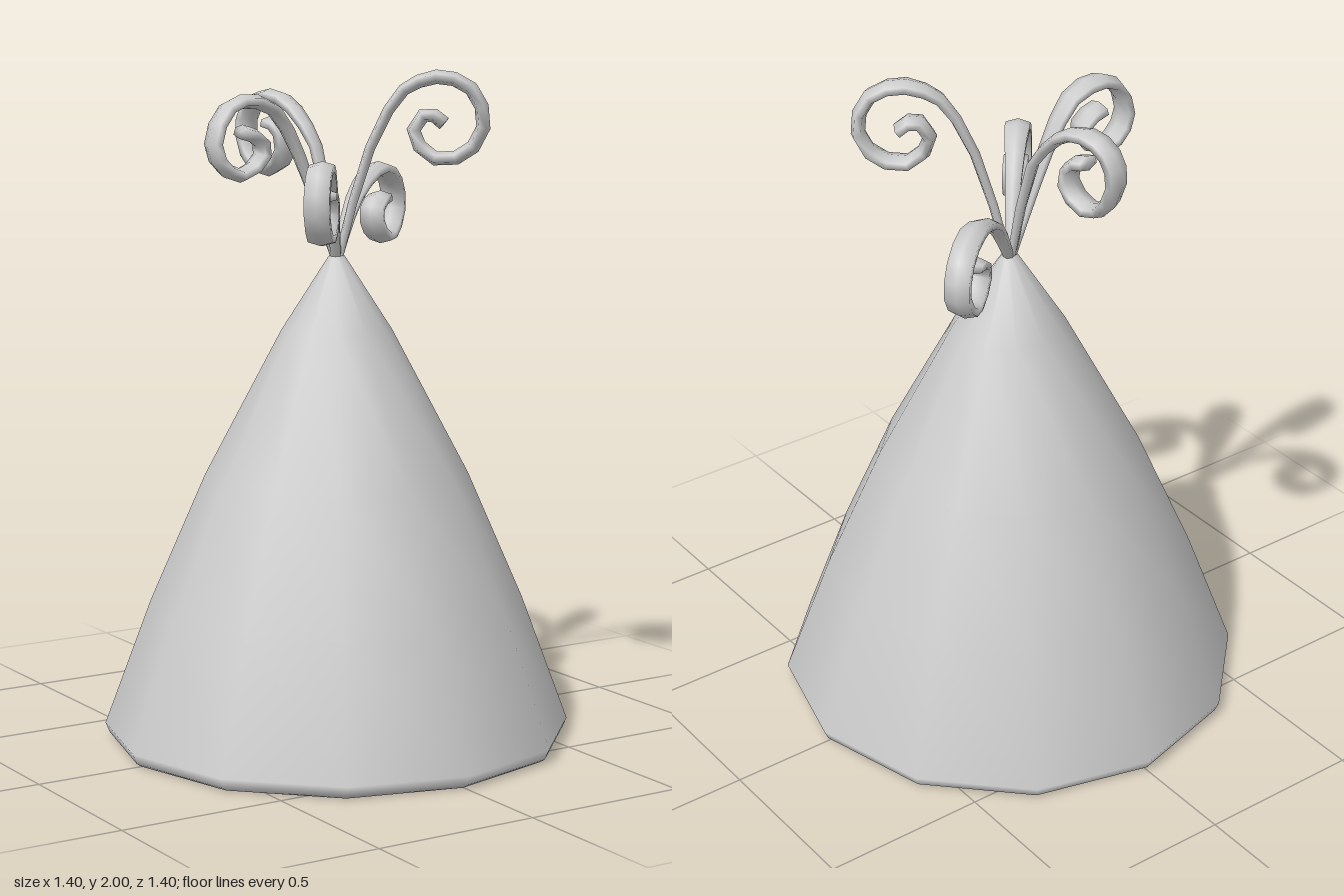
import * as THREE from 'three';

const material = new THREE.MeshStandardMaterial({ color: 0xcccccc });
const SIDES = 6;
const STEPS = 18;

// Flattened ribbon-like tube along a curve through [radius, height] points,
// thin at the base and full width once it starts to curl.
function curlGeometry(path) {
  const pts = new THREE.SplineCurve(path.map(([r, y]) => new THREE.Vector2(r, y))).getPoints(STEPS);
  const pos = [];
  const index = [];
  pts.forEach((p, i) => {
    const t = pts[Math.min(i + 1, STEPS)].clone().sub(pts[Math.max(i - 1, 0)]).normalize();
    const grow = Math.min(1, i / 6);
    const thick = 0.012 + 0.009 * grow;
    const wide = 0.015 + 0.027 * grow;
    for (let j = 0; j < SIDES; j++) {
      const a = (j / SIDES) * Math.PI * 2;
      const n = Math.cos(a) * thick;
      pos.push(p.x - t.y * n, p.y + t.x * n, Math.sin(a) * wide);
      if (i < STEPS) {
        const k = (j + 1) % SIDES;
        const [a0, a1, b0, b1] = [i * SIDES + j, i * SIDES + k, (i + 1) * SIDES + j, (i + 1) * SIDES + k];
        index.push(a0, a1, b0, a1, b1, b0);
      }
    }
  });
  // End caps
  const start = pos.length / 3;
  pos.push(pts[0].x, pts[0].y, 0, pts[STEPS].x, pts[STEPS].y, 0);
  for (let j = 0; j < SIDES; j++) {
    const k = (j + 1) % SIDES;
    index.push(start, k, j, start + 1, STEPS * SIDES + j, STEPS * SIDES + k);
  }
  const g = new THREE.BufferGeometry();
  g.setAttribute('position', new THREE.Float32BufferAttribute(pos, 3));
  g.setIndex(index);
  g.computeVertexNormals();
  return g;
}

// Each curl lies in its own vertical plane, heading towards dir = [x, z]
const curls = [
  { name: 'leftwardCurl', dir: [-1, 0], path: [
    [0.005, 1.44], [0.075, 1.62], [0.14, 1.77], [0.21, 1.88], [0.3, 1.912], [0.375, 1.885], [0.415, 1.8],
    [0.39, 1.73], [0.325, 1.7], [0.258, 1.745], [0.262, 1.8], [0.325, 1.825]] },
  { name: 'backCurl', dir: [-0.24, -0.97], path: [
    [0.005, 1.44], [0.07, 1.73], [0.14, 1.84], [0.22, 1.9], [0.3, 1.908], [0.36, 1.87], [0.38, 1.8],
    [0.345, 1.715], [0.28, 1.69], [0.215, 1.74], [0.225, 1.81], [0.28, 1.83]] },
  { name: 'backRightwardCurl', dir: [0.81, -0.585], path: [
    [0.005, 1.44], [0.075, 1.54], [0.155, 1.62], [0.27, 1.675], [0.37, 1.682], [0.45, 1.635], [0.473, 1.56],
    [0.425, 1.49], [0.36, 1.475], [0.293, 1.52], [0.298, 1.575], [0.365, 1.595]] },
  { name: 'frontRightwardCurl', dir: [0.772, 0.635], path: [
    [0.005, 1.44], [0.08, 1.72], [0.165, 1.9], [0.235, 1.96], [0.32, 1.975], [0.4, 1.935], [0.431, 1.84],
    [0.38, 1.755], [0.285, 1.74], [0.225, 1.81], [0.265, 1.87], [0.315, 1.84]] },
  { name: 'frontLeftwardCurl', dir: [-0.66, 0.75], path: [
    [0.005, 1.44], [0.073, 1.56], [0.146, 1.65], [0.215, 1.71], [0.278, 1.725], [0.335, 1.69], [0.355, 1.61],
    [0.312, 1.54], [0.244, 1.525], [0.18, 1.575], [0.19, 1.635], [0.235, 1.645]] },
];

export function createModel() {
  const model = new THREE.Group();
  model.name = 'partyHat';

  // Hollow twelve-sided cone: inside wall, rolled rim, bulging outside wall
  const profile = [
    [0, 1.425], [0.15, 1.22], [0.375, 0.79], [0.541, 0.41], [0.675, 0.05], [0.65, 0.015],
    [0.67, 0], [0.685, 0.01], [0.698, 0.04],
    [0.557, 0.42], [0.392, 0.8], [0.165, 1.23], [0.024, 1.45], [0, 1.455],
  ].map(([r, y]) => new THREE.Vector2(r, y));
  const cone = new THREE.Mesh(new THREE.LatheGeometry(profile, 12), material);
  cone.name = 'cone';
  model.add(cone);

  // Spray of curled streamers at the tip
  const streamers = new THREE.Group();
  streamers.name = 'streamers';
  for (const { name, dir, path } of curls) {
    const curl = new THREE.Mesh(curlGeometry(path), material);
    curl.name = name;
    curl.rotation.y = Math.atan2(-dir[1], dir[0]);
    streamers.add(curl);
  }
  model.add(streamers);
  return model;
}
